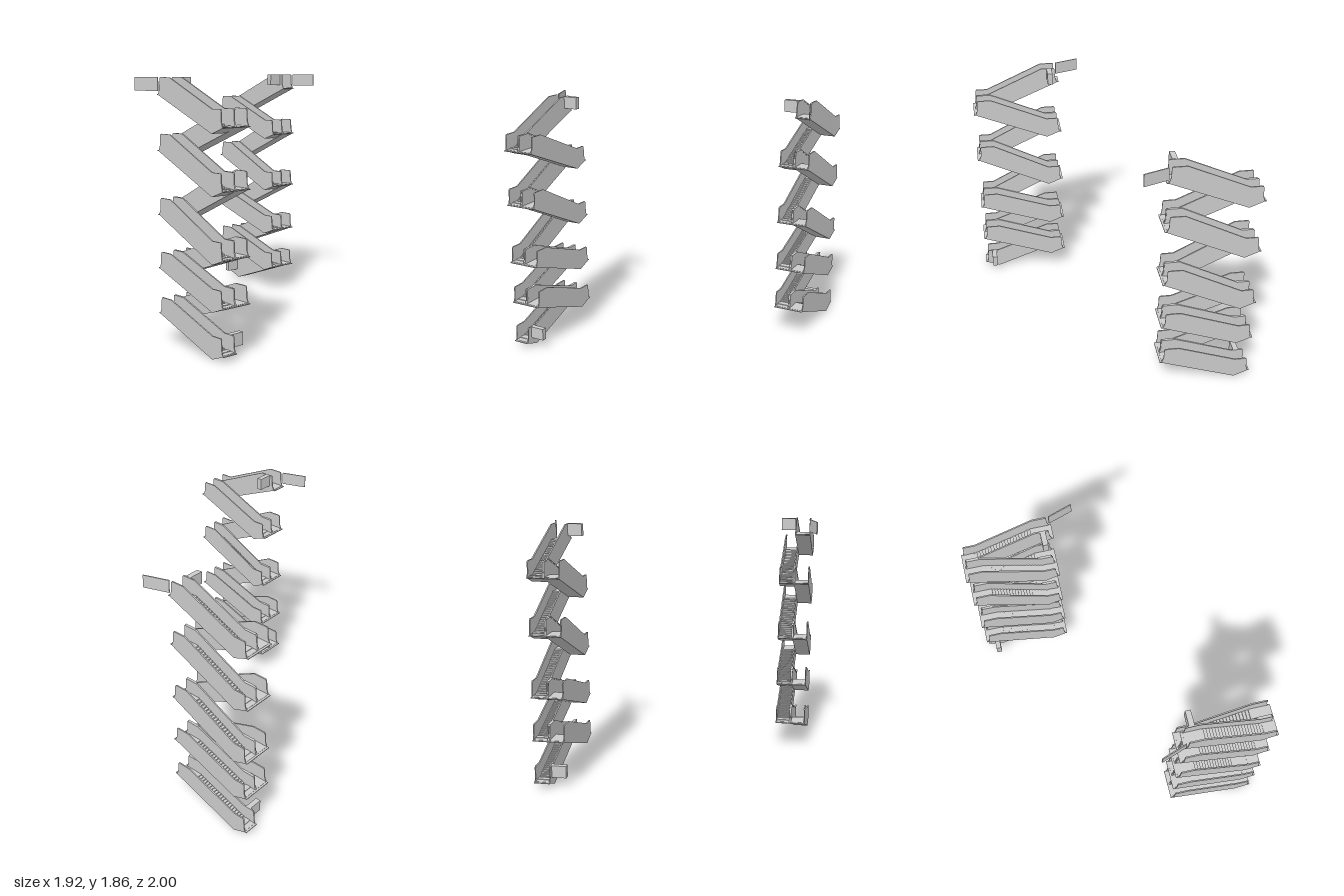
import * as THREE from 'three';

const grey = new THREE.MeshStandardMaterial({ color: 0xcccccc, flatShading: true });
const CX = 0.6125; // middle of a stack along x
const LANE = 0.1165; // width of one flight
const WALL = 0.007;

// Handrail heights at each landing, from the bottom up
const LEVELS = [0.16, 0.32, 0.48, 0.645, 0.80, 1.025, 1.25, 1.47, 1.66, 1.855];

function addMesh(parent, name, geometry, x = 0, y = 0, z = 0) {
  const mesh = new THREE.Mesh(geometry, grey);
  mesh.name = name;
  mesh.position.set(x, y, z);
  parent.add(mesh);
  return mesh;
}

function addBox(parent, name, w, h, d, x, y, z) {
  return addMesh(parent, name, new THREE.BoxGeometry(w, h, d), x, y, z);
}

// Side profile extruded across z, centred on z; dir mirrors it along x
function addProfile(parent, name, points, dir, depth, z) {
  const shape = new THREE.Shape(points.map(([x, y]) => new THREE.Vector2(x * dir, y)));
  const geometry = new THREE.ExtrudeGeometry(shape, { depth, bevelEnabled: false });
  return addMesh(parent, name, geometry, 0, 0, z - depth / 2);
}

// One flight: lower end at +x * dir, climbing from handrail height t0 to t1
function createFlight(t0, t1, dir) {
  const flight = new THREE.Group();
  flight.name = 'flight';
  const f0 = t0 - 0.112, f1 = t1 - 0.112;
  const underside = [[-0.333, t1 - 0.12], [0.23, t0 - 0.16], [0.333, t0 - 0.12]];

  // Truss with landings and steps
  const body = [[0.333, f0], [0.23, f0]];
  const steps = 20;
  for (let i = 0; i < steps; i++) {
    const x = 0.23 - 0.44 * i / steps;
    const y = f0 + (f1 - f0) * (i + 1) / steps;
    body.push([x, y], [x - 0.44 / steps, y]);
  }
  body.push([-0.333, f1], ...underside);
  addProfile(flight, 'steppedTruss', body, dir, LANE - 2 * WALL, 0);

  // Balustrades and their handrails
  const panel = [
    [0.325, t0 - 0.08], [0.322, t0 - 0.008], [0.315, t0], [0.23, t0],
    [-0.21, t1], [-0.31, t1], [-0.317, t1 - 0.008], [-0.32, t1 - 0.08],
    [-0.333, f1], ...underside, [0.333, f0],
  ];
  const rail = [
    [0.322, t0 - 0.008], [0.315, t0 + 0.001], [0.23, t0 + 0.001],
    [-0.21, t1 + 0.001], [-0.31, t1 + 0.001], [-0.317, t1 - 0.008],
    [-0.21, t1 - 0.008], [0.23, t0 - 0.008],
  ];
  for (const side of [-1, 1]) {
    addProfile(flight, 'balustrade', panel, dir, WALL, side * (LANE - WALL) / 2);
    addProfile(flight, 'handrail', rail, dir, 0.01, side * (LANE - 0.01) / 2);
  }

  // Comb plate at the foot and a lip at each landing
  addBox(flight, 'combPlate', 0.04, 0.004, LANE - 2 * WALL, 0.27 * dir, f0 + 0.002, 0);
  addBox(flight, 'lowerLip', 0.025, 0.006, LANE, 0.3355 * dir, t0 - 0.117, 0);
  addBox(flight, 'upperLip', 0.025, 0.006, LANE, -0.3355 * dir, t1 - 0.117, 0);
  return flight;
}

// A zigzag of flights alternating between the outer and inner lane
function createStack() {
  const stack = new THREE.Group();
  stack.name = 'flightStack';
  for (let i = 0; i < LEVELS.length - 1; i++) {
    const outer = i % 2 === 0;
    const flight = createFlight(LEVELS[i], LEVELS[i + 1], outer ? 1 : -1);
    flight.position.set(CX, 0, outer ? 0.876 : 0.7595);
    stack.add(flight);
  }

  // Barriers closing the unused inner lane at the bottom and the top
  addBox(stack, 'bottomBarrier', 0.04, 0.09, 0.11, 0.88, 0.115, 0.765);
  addBox(stack, 'topBarrier', 0.04, 0.09, 0.11, 0.34, 1.812, 0.765);

  // Angled guard panel beside the top landing
  const dx = 0.18, dz = -0.063;
  const guard = addBox(stack, 'guardPanel', Math.hypot(dx, dz), 0.093, 0.008, 0.187, 1.809, 0.964);
  guard.rotation.y = Math.atan2(-dz, dx);
  return stack;
}

export function createModel() {
  const model = new THREE.Group();
  model.name = 'escalatorStacks';
  const front = createStack();
  const back = createStack();
  back.rotation.y = Math.PI;
  model.add(front, back);
  return model;
}
